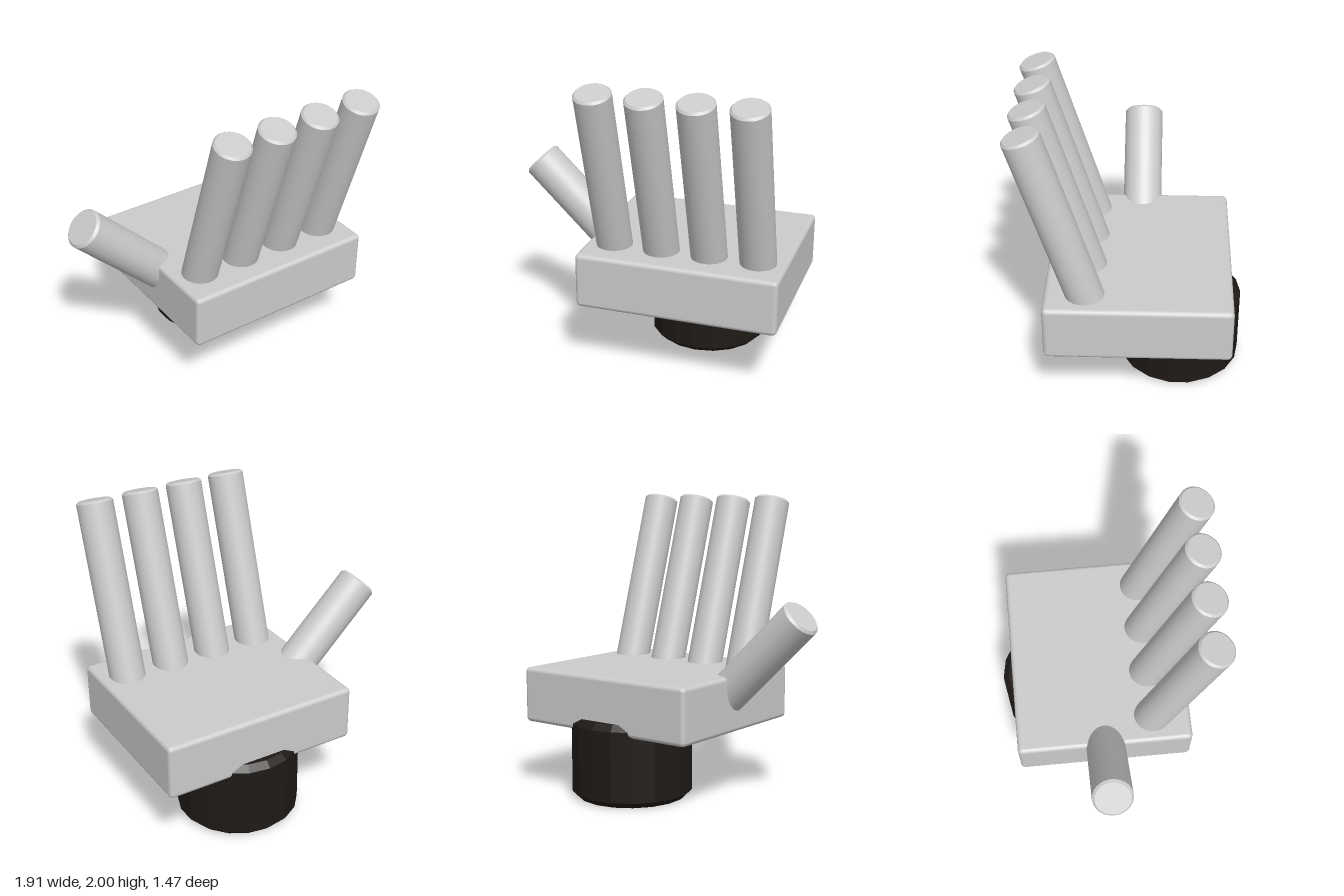
import * as THREE from 'three';
import { toCreasedNormals } from 'three/addons/utils/BufferGeometryUtils.js';
import { RoundedBoxGeometry } from 'three/addons/geometries/RoundedBoxGeometry.js';

const grey = new THREE.MeshStandardMaterial({ color: 0xcccccc });
const dark = new THREE.MeshStandardMaterial({ color: 0x1f1a16, flatShading: true });

// Cylinder along y from 0 to length, with bevelled rims
function bevelledCylinder(radius, length, bevel, sides) {
  const profile = [
    [0, 0], [radius - bevel, 0], [radius, bevel],
    [radius, length - bevel], [radius - bevel, length], [0, length],
  ].map(([x, y]) => new THREE.Vector2(x, y));
  return new THREE.LatheGeometry(profile, sides);
}

// Smooth digit running from its buried root to its tip
function digit(name, root, tip, radius, bevel) {
  const axis = tip.clone().sub(root);
  const geometry = toCreasedNormals(bevelledCylinder(radius, axis.length(), bevel, 32), 0.6);
  const mesh = new THREE.Mesh(geometry, grey);
  mesh.name = name;
  mesh.position.copy(root);
  mesh.quaternion.setFromUnitVectors(new THREE.Vector3(0, 1, 0), axis.normalize());
  return mesh;
}

export function createModel() {
  const hand = new THREE.Group();
  hand.name = 'hand';

  // Palm slab with softened edges
  const palm = new THREE.Mesh(new RoundedBoxGeometry(1.35, 0.375, 1.19, 2, 0.03), grey);
  palm.name = 'palm';
  palm.position.set(0.277, 0.653, -0.06);
  hand.add(palm);

  // Faceted wrist, its top sunk into the palm
  const wrist = new THREE.Mesh(bevelledCylinder(0.405, 0.545, 0.04, 18), dark);
  wrist.name = 'wrist';
  wrist.position.set(0.28, 0, -0.33);
  hand.add(wrist);

  // Four fingers leaning forward
  const fingers = new THREE.Group();
  fingers.name = 'fingers';
  for (let i = 0; i < 4; i++) {
    const x = -0.21 + i * 0.325;
    fingers.add(digit(`finger${i + 1}`,
      new THREE.Vector3(x, 0.62, 0.21), new THREE.Vector3(x, 1.967, 0.625), 0.12, 0.014));
  }
  hand.add(fingers);

  // Thumb slanting out to the side
  hand.add(digit('thumb',
    new THREE.Vector3(-0.226, 0.624, -0.058), new THREE.Vector3(-0.873, 1.256, -0.058), 0.133, 0.016));

  return hand;
}
